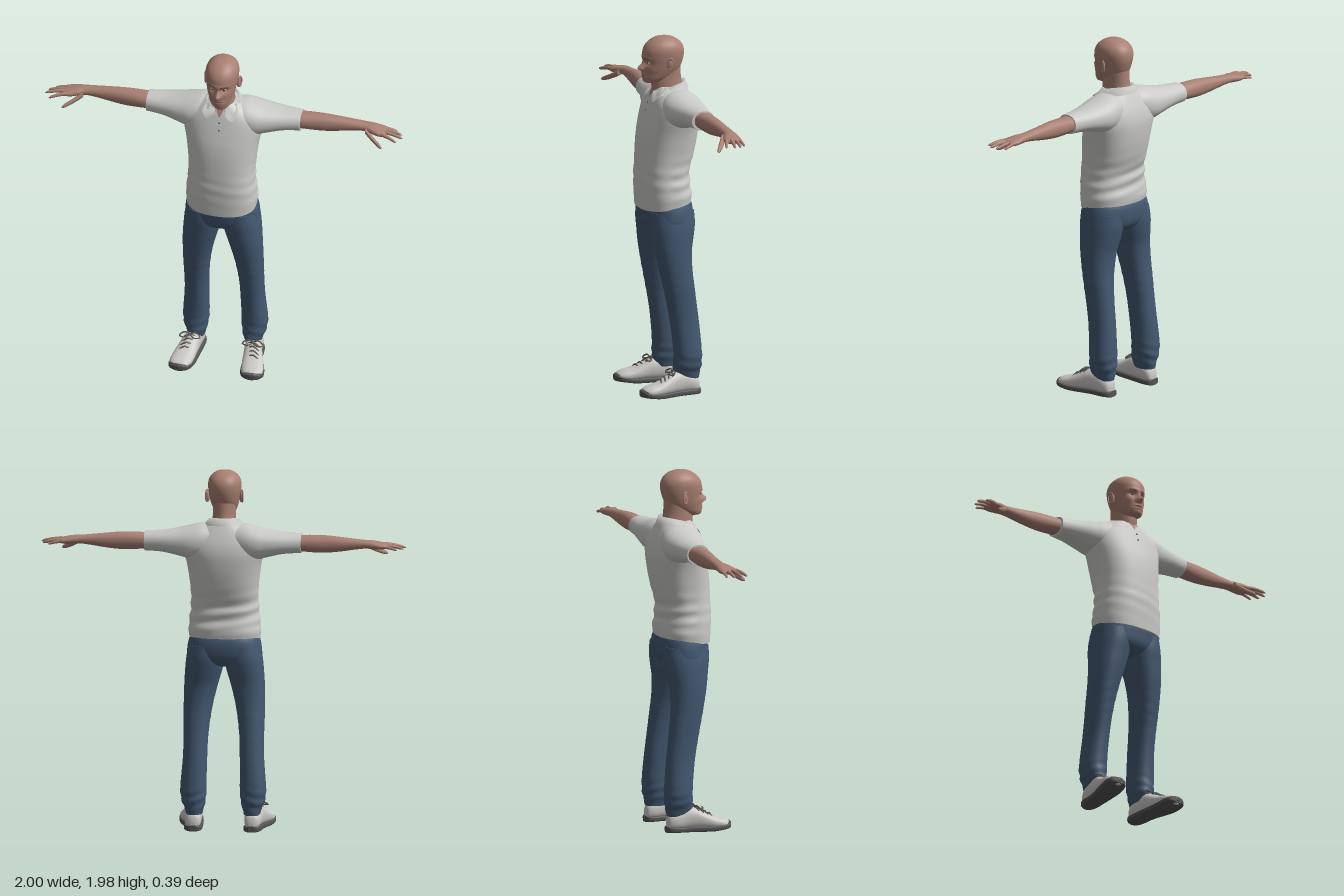
import * as THREE from 'three';

const mat = (name, color, side = THREE.FrontSide) => {
  const m = new THREE.MeshStandardMaterial({ color, side });
  m.name = name;
  return m;
};
const gauss = (d, s) => Math.exp(-(d * d) / (2 * s * s));
const bump = (p, x, y, sx, sy) => gauss(p.x - x, sx) * gauss(p.y - y, sy);

// Smooth interpolation of table rows, u from 0 to 1
function sample(rows, u) {
  const f = u * (rows.length - 1), i = Math.min(Math.floor(f), rows.length - 2), t = f - i;
  const row = k => rows[Math.max(0, Math.min(rows.length - 1, k))];
  const [a, b, c, d] = [row(i - 1), row(i), row(i + 1), row(i + 2)];
  return b.map((_, k) => b[k] + 0.5 * t * (c[k] - a[k] + t * (2 * a[k] - 5 * b[k] + 4 * c[k] - d[k]
    + t * (3 * (b[k] - c[k]) + d[k] - a[k]))));
}

// Grid surface from a point rule; closed grids wrap around and get end caps
function grid(nu, nv, fn, closed = false) {
  const pos = [], idx = [], w = closed ? nv : nv + 1;
  for (let i = 0; i <= nu; i++)
    for (let j = 0; j < w; j++) pos.push(...fn(i / nu, j / nv).toArray());
  for (let i = 0; i < nu; i++)
    for (let j = 0; j < nv; j++) {
      const a = i * w + j, b = i * w + (j + 1) % w;
      idx.push(a, b, a + w, b, b + w, a + w);
    }
  if (closed) for (const end of [0, nu]) {
    const base = pos.length / 3, c = [0, 0, 0];
    for (let j = 0; j < w; j++) for (let k = 0; k < 3; k++) {
      const v = pos[(end * w + j) * 3 + k];
      pos.push(v);
      c[k] += v / w;
    }
    pos.push(...c);
    for (let j = 0; j < w; j++) {
      const a = base + j, b = base + (j + 1) % w;
      idx.push(...(end ? [a, b, base + w] : [b, a, base + w]));
    }
  }
  if (closed) { // keep faces outward
    let vol = 0;
    const p = k => new THREE.Vector3().fromArray(pos, idx[k] * 3);
    for (let k = 0; k < idx.length; k += 3) vol += p(k).dot(p(k + 1).cross(p(k + 2)));
    if (vol < 0) idx.reverse();
  }
  const g = new THREE.BufferGeometry();
  g.setAttribute('position', new THREE.Float32BufferAttribute(pos, 3));
  g.setIndex(idx);
  g.computeVertexNormals();
  return g;
}

// Loft of rounded sections; each row is [along, a0, a1, b0, b1]
function loft(axis, rows, { n = 2, seg = 32, steps = 5, rule } = {}) {
  const pw = v => Math.sign(v) * Math.abs(v) ** (2 / n);
  return grid((rows.length - 1) * steps, seg, (u, v) => {
    const [t, a0, a1, b0, b1] = sample(rows, u), th = v * Math.PI * 2;
    const a = (a0 + a1) / 2 + (a1 - a0) / 2 * pw(Math.cos(th));
    const b = (b0 + b1) / 2 + (b1 - b0) / 2 * pw(Math.sin(th));
    const p = axis === 'y' ? new THREE.Vector3(a, t, b)
      : axis === 'x' ? new THREE.Vector3(t, a, b) : new THREE.Vector3(a, b, t);
    if (rule) rule(p);
    return p;
  }, true);
}
const sym = rows => rows.map(([y, rx, zf, zb]) => [y, -rx, rx, zb, zf]);

function mirror(geo) {
  const g = geo.clone().scale(-1, 1, 1);
  g.setIndex(Array.from(g.index.array).reverse());
  g.computeVertexNormals();
  return g;
}

export function createModel() {
  const model = new THREE.Group();
  model.name = 'standingMan';
  const skin = mat('skin', 0xa98072, THREE.DoubleSide), lips = mat('lips', 0x8f6358), brow = mat('brow', 0x7d5a4e);
  const eyeWhite = mat('eyeWhite', 0xc9c2bc), iris = mat('iris', 0x3a2c26);
  const shirt = mat('shirtFabric', 0xcacac8, THREE.DoubleSide), denim = mat('denim', 0x435871);
  const shoe = mat('shoeLeather', 0xcbc9c5), sole = mat('soleRubber', 0x545454), lace = mat('lace', 0x5c5a57);
  const add = (name, geo, m) => {
    const mesh = new THREE.Mesh(geo, m);
    mesh.name = name;
    model.add(mesh);
  };
  const pair = (name, geo, m) => {
    add('left' + name, geo, m);
    add('right' + name, mirror(geo), m);
  };
  const tube = (pts, r, closed = false) =>
    new THREE.TubeGeometry(new THREE.CatmullRomCurve3(pts.map(p => new THREE.Vector3(...p)), closed), 24, r, 6, closed);

  // Shirt body with gentle folds and a hem that rises to the back
  const torso = sym([[1.045, .193, .128, -.152], [1.1, .197, .132, -.157], [1.16, .192, .135, -.146], [1.21, .187, .136, -.148],
    [1.25, .184, .134, -.146], [1.32, .185, .131, -.168], [1.4, .193, .125, -.185], [1.47, .204, .114, -.194],
    [1.53, .218, .098, -.196], [1.58, .222, .083, -.188], [1.62, .208, .07, -.174], [1.66, .155, .056, -.156],
    [1.69, .106, .04, -.14], [1.705, .078, .03, -.128]]);
  add('shirtBody', loft('y', torso, { n: 2.35, seg: 64, rule: p => {
    const back = p.z < 0 ? 1 : .35;
    const k = 1 + .022 * back * gauss(p.y - 1.2, .07) * Math.sin(p.y * 85 + p.x * 14);
    p.x *= k;
    p.z *= k;
    p.y -= .13 * p.z * Math.max(0, 1 - (p.y - 1.045) / .12);
  } }), shirt);
  const chestZ = (x, y) => {
    let u = 0;
    while (u < 1 && sample(torso, u)[0] < y) u += .002;
    const [, , rx, zb, zf] = sample(torso, Math.min(u, 1));
    return (zf + zb) / 2 + (zf - zb) / 2 * Math.max(0, 1 - Math.abs(x / rx) ** 2.35) ** (1 / 2.35);
  };
  const onChest = (x, y, lift) => new THREE.Vector3(x, y, chestZ(x, y) + lift);

  // Sleeves
  pair('Sleeve', loft('x', [[.05, 1.69, 1.52, .03, -.16], [.12, 1.694, 1.5, .045, -.18], [.18, 1.682, 1.498, .043, -.185],
    [.24, 1.668, 1.513, .026, -.178], [.32, 1.655, 1.532, .002, -.166], [.38, 1.65, 1.538, -.012, -.156],
    [.43, 1.647, 1.54, -.02, -.15]], { n: 2.2, seg: 36 }), shirt);

  // Collar folded over the neckline, open at the throat
  add('collar', grid(72, 2, (u, v) => {
    const a = .3 + u * (Math.PI * 2 - .6), f = (1 + Math.cos(a)) / 2, off = Math.min(a, Math.PI * 2 - a);
    const top = 1.732 - .05 * f ** 1.5;
    if (v < .9) {
      const r = v < .25 ? .94 : 1;
      return new THREE.Vector3(.084 * r * Math.sin(a), v < .25 ? top - .04 : top, -.043 + .098 * r * Math.cos(a));
    }
    const x = .113 * Math.sin(a), y = 1.69 - .022 * f - .04 * gauss(off - .66, .26);
    let z = -.042 + .113 * Math.cos(a);
    if (z > 0) z = Math.max(z, chestZ(x, y) + .009);
    return new THREE.Vector3(x, y, z);
  }), shirt);
  // Open throat, placket and buttons
  add('throat', grid(8, 6, (u, v) => onChest((v - .5) * .06 * u, 1.642 + .058 * u, .003), ), skin);
  add('placket', grid(10, 4, (u, v) => onChest((v - .5) * .026 + .003, 1.55 + .092 * u, .005), ), shirt);
  for (const y of [1.575, 1.615])
    add('button', new THREE.SphereGeometry(.005, 10, 8).scale(1, 1, .5).translate(.004, y, chestZ(0, y) + .006), lace);

  // Neck and sculpted head
  add('neck', loft('y', sym([[1.62, .07, .035, -.135], [1.7, .065, .05, -.124], [1.75, .063, .05, -.116], [1.81, .064, .03, -.112]])), skin);
  const head = loft('y', sym([[1.726, .022, .082, .035], [1.732, .042, .095, .005], [1.75, .057, .101, -.04], [1.775, .068, .102, -.085],
    [1.805, .077, .101, -.108], [1.84, .084, .1, -.122], [1.875, .089, .102, -.13], [1.91, .09, .097, -.129],
    [1.94, .081, .079, -.115], [1.963, .06, .05, -.088], [1.976, .035, .02, -.056], [1.98, .004, -.016, -.022]]),
    { n: 2.15, seg: 120, steps: 8, rule: p => {
      if (p.z < .01) return;
      let d = .026 * bump(p, 0, 1.809, .011, .012) + .013 * bump(p, 0, 1.83, .008, .018);
      d += .008 * bump(p, 0, 1.768, .02, .011) - .008 * bump(p, 0, 1.768, .018, .0025) + .004 * bump(p, 0, 1.737, .018, .01);
      for (const s of [-1, 1])
        d += .009 * bump(p, s * .013, 1.803, .006, .007) - .013 * bump(p, s * .032, 1.842, .015, .011)
          + .005 * bump(p, s * .03, 1.866, .02, .008) + .004 * bump(p, s * .05, 1.81, .015, .015);
      p.z += d;
    } });
  // Sort head faces into skin, lips and brows
  const faces = [[], [], []], hp = head.attributes.position, hi = head.index.array;
  for (let i = 0; i < hi.length; i += 3) {
    const t = [hi[i], hi[i + 1], hi[i + 2]];
    const mid = f => (hp[f](t[0]) + hp[f](t[1]) + hp[f](t[2])) / 3;
    const x = Math.abs(mid('getX')), y = mid('getY'), front = mid('getZ') > .03;
    const isLip = front && (x / .024) ** 2 + ((y - 1.768) / .009) ** 2 < 1;
    const isBrow = front && x > .015 && x < .052 && Math.abs(y - 1.867 + 3 * (x - .035) ** 2) < .0035;
    faces[isLip ? 1 : isBrow ? 2 : 0].push(...t);
  }
  head.setIndex(faces.flat());
  let start = 0;
  faces.forEach((f, i) => { head.addGroup(start, f.length, i); start += f.length; });
  add('head', head, [skin, lips, brow]);
  pair('Eye', new THREE.SphereGeometry(.012, 16, 12).scale(1, .55, 1).translate(.032, 1.842, .0755), eyeWhite);
  pair('Iris', new THREE.SphereGeometry(.0055, 12, 8).scale(1, 1, .5).translate(.032, 1.842, .0862), iris);
  pair('Ear', new THREE.SphereGeometry(1, 16, 14).scale(.009, .032, .018).rotateY(-.35).translate(.09, 1.836, -.022), skin);
  pair('EarRim', new THREE.TorusGeometry(.019, .0045, 8, 24).scale(.85, 1.6, 1).rotateY(Math.PI / 2 - .4).translate(.096, 1.838, -.025), skin);

  // Arms, palms, fingers and thumbs
  pair('Arm', loft('x', [[.38, 1.638, 1.55, -.035, -.14], [.43, 1.639, 1.55, -.035, -.142], [.5, 1.641, 1.546, -.042, -.141],
    [.57, 1.64, 1.546, -.05, -.138], [.65, 1.633, 1.555, -.06, -.136], [.72, 1.626, 1.566, -.066, -.134],
    [.78, 1.62, 1.573, -.066, -.134], [.82, 1.617, 1.57, -.052, -.136], [.86, 1.609, 1.568, -.038, -.138],
    [.89, 1.602, 1.572, -.038, -.134], [.905, 1.594, 1.58, -.05, -.125]], { n: 2.2 }), skin);
  const finger = (name, a, b, r, lift) => pair(name, loft('x', [0, .3, .6, .88, 1].map((t, i) => {
    const q = a.map((v, k) => v + (b[k] - v) * t), w = r * [1.05, 1, .9, .7, .1][i];
    const y = q[1] + lift * Math.sin(t * Math.PI);
    return [q[0], y + w, y - w, q[2] + w, q[2] - w];
  }), { seg: 14 }), skin);
  finger('IndexFinger', [.875, 1.59, -.05], [.972, 1.572, -.014], .0105, .005);
  finger('MiddleFinger', [.875, 1.591, -.075], [1, 1.575, -.055], .0105, .006);
  finger('RingFinger', [.875, 1.589, -.099], [.99, 1.572, -.092], .0098, .005);
  finger('LittleFinger', [.87, 1.586, -.122], [.957, 1.57, -.125], .0088, .004);
  finger('Thumb', [.79, 1.588, -.065], [.895, 1.533, .003], .0155, -.004);

  // Jeans: hips and legs, creased at the ankles
  add('hips', loft('y', sym([[1.09, .18, .112, -.14], [1.05, .194, .115, -.157], [1, .203, .11, -.16],
    [.95, .2, .1, -.15], [.915, .14, .075, -.12], [.9, .06, .04, -.07]]), { n: 2.4, seg: 48 }), denim);
  pair('TrouserLeg', loft('y', [[1.02, .004, .195, .1, -.15], [.95, 0, .208, .1, -.153], [.88, .012, .215, .09, -.142],
    [.8, .035, .22, .078, -.127], [.7, .06, .222, .058, -.126], [.6, .077, .222, .037, -.136], [.5, .087, .22, .017, -.148],
    [.4, .09, .222, 0, -.16], [.3, .092, .23, -.012, -.169], [.22, .092, .235, -.018, -.174], [.16, .098, .226, -.014, -.172],
    [.12, .107, .21, -.018, -.165], [.09, .114, .203, -.032, -.16]], { n: 2.2, seg: 40, rule: p => {
    const k = 1 + .035 * (gauss(p.y - .17, .05) + .3 * gauss(p.y - .6, .08)) * Math.sin(p.y * 110 + p.x * 30 - p.z * 20);
    p.x = .162 + (p.x - .162) * k;
    p.z = -.09 + (p.z + .09) * k;
  } }), denim);

  // Shoes: each row is [z, centre x, half width, top]
  const last = [[-.162, .16, .012, .055], [-.152, .161, .033, .09], [-.12, .163, .045, .112], [-.06, .167, .046, .135], [-.01, .174, .05, .132],
    [.04, .184, .056, .108], [.09, .193, .061, .085], [.14, .2, .06, .072], [.172, .201, .045, .06], [.186, .201, .015, .045]];
  pair('ShoeUpper', loft('z', last.map(([z, x, w, h]) => [z, x - w, x + w, .012, h]), { n: 2.3 }), shoe);
  pair('ShoeSole', loft('z', last.map(([z, x, w]) => {
    const toe = Math.max(0, z - .08) * .15;
    return [z * 1.03, x - w - .005, x + w + .005, toe, .034 + toe];
  }), { n: 4 }), sole);
  pair('ToeCap', loft('z', [[.135, .145, .257, .02, .06], [.165, .152, .252, .02, .058], [.186, .175, .228, .02, .052], [.194, .196, .206, .025, .045]], { n: 2.6 }), sole);
  // Laces across the instep and a bow
  for (let i = 0; i < 4; i++) {
    const z = i * .024, x = .176 + i * .005, y = .132 - i * .012;
    pair('Lace' + (i + 1), tube([[x - .035, y - .018, z - .008], [x, y + .003, z], [x + .035, y - .018, z + .008]], .0045), lace);
  }
  for (const s of [-1, 1])
    pair(s < 0 ? 'InnerBow' : 'OuterBow', tube([[.176, .135, .002], [.176 + s * .03, .145, -.002], [.176 + s * .058, .128, .012],
      [.176 + s * .028, .126, .024]], .004, true), lace);
  return model;
}
